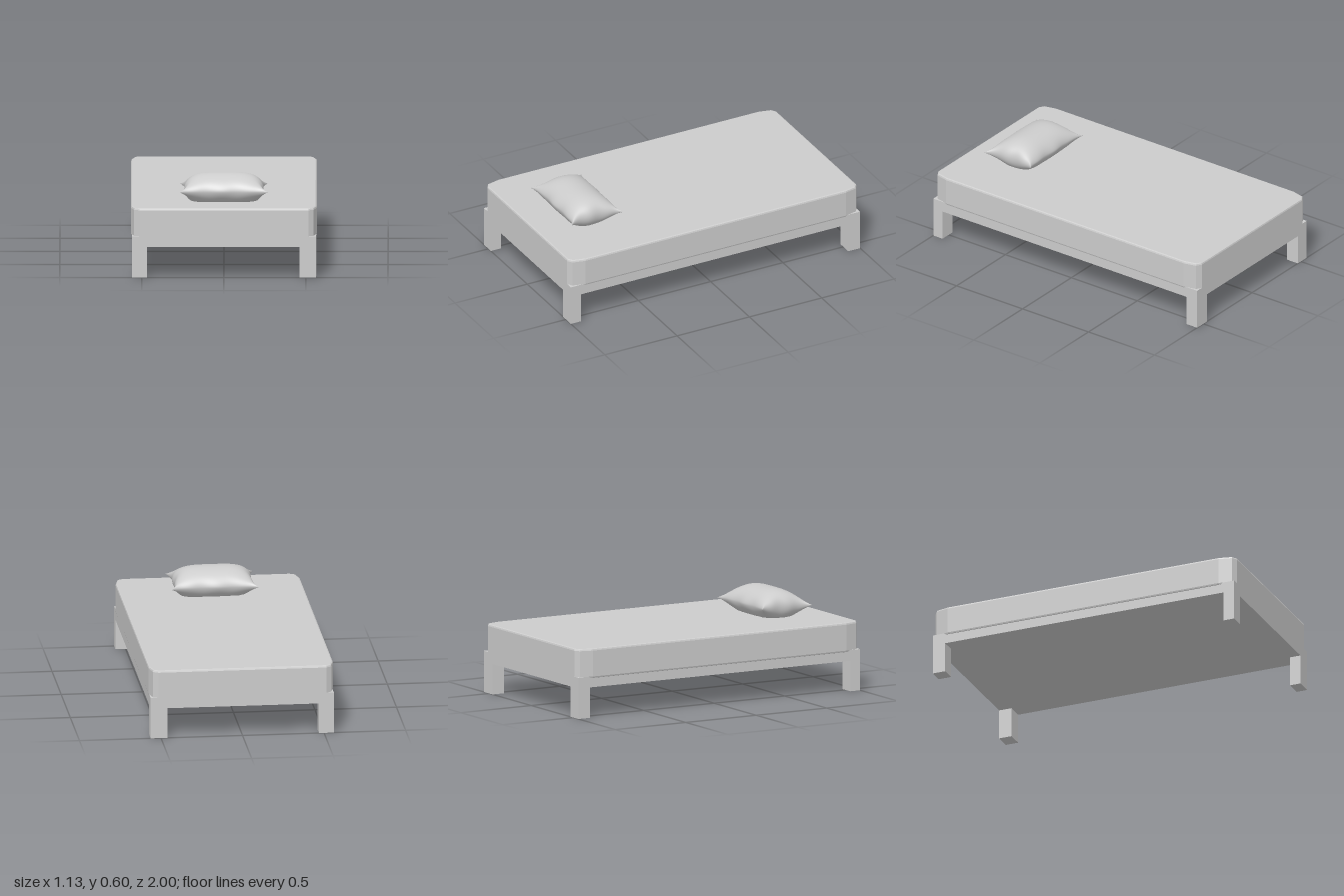
import * as THREE from 'three';
import { mergeGeometries, mergeVertices } from 'three/addons/utils/BufferGeometryUtils.js';

const grey = new THREE.MeshStandardMaterial({ color: 0xcccccc });
grey.name = 'plain grey';

function add(group, name, geometry) {
  const mesh = new THREE.Mesh(geometry, grey);
  mesh.name = name;
  group.add(mesh);
  return mesh;
}

// Box given by its extents
function box(group, name, x0, x1, y0, y1, z0, z1) {
  const mesh = add(group, name, new THREE.BoxGeometry(x1 - x0, y1 - y0, z1 - z0));
  mesh.position.set((x0 + x1) / 2, (y0 + y1) / 2, (z0 + z1) / 2);
}

// Slab with cut corners and a small bevel round the top edge
function mattressGeometry() {
  const corner = [[0.566, 0.9], [0.547, 0.98], [0.515, 1]];
  const back = [...corner].reverse();
  const outline = [
    ...corner,
    ...back.map(([x, y]) => [-x, y]),
    ...corner.map(([x, y]) => [-x, -y]),
    ...back.map(([x, y]) => [x, -y]),
  ].map(([x, y]) => new THREE.Vector2(x, y));
  const geometry = new THREE.ExtrudeGeometry(new THREE.Shape(outline), {
    depth: 0.16, bevelThickness: 0.012, bevelSize: 0.01, bevelOffset: -0.01, bevelSegments: 2,
  });
  return geometry.rotateX(-Math.PI / 2).translate(0, 0.255, 0);
}

// One half of the cushion: a grid swollen away from the seam, with drawn-out corners
function pillowHalf(side) {
  const geometry = new THREE.PlaneGeometry(2, 2, 40, 32).rotateX(-side * Math.PI / 2);
  const p = geometry.attributes.position;
  for (let i = 0; i < p.count; i++) {
    // Cosine spacing packs more rows near the seam
    const u = Math.sin(p.getX(i) * Math.PI / 2);
    const v = Math.sin(p.getZ(i) * Math.PI / 2);
    const swell = Math.sqrt(Math.max(0, 1 - u ** 4)) * Math.max(0, 1 - v * v) ** 0.6;
    const pucker = 0.004 * Math.sin(9 * u + 2) * v ** 6 + 0.004 * Math.sin(8 * v) * u ** 6;
    const height = side > 0 ? 0.097 * swell : Math.min(0.071, 0.105 * swell);
    p.setXYZ(
      i,
      u * (0.238 + 0.03 * v ** 6 + pucker * (1 - v * v)),
      side * height,
      v * (0.153 + 0.024 * u ** 8 + pucker * (1 - u * u)),
    );
  }
  geometry.deleteAttribute('uv');
  geometry.deleteAttribute('normal');
  return geometry;
}

function pillowGeometry() {
  const geometry = mergeVertices(mergeGeometries([pillowHalf(1), pillowHalf(-1)]), 1e-4);
  geometry.computeVertexNormals();
  return geometry;
}

export function createModel() {
  const bed = new THREE.Group();
  bed.name = 'bed';

  // Solid base and four square legs
  box(bed, 'bedBase', -0.56, 0.563, 0.188, 0.255, -1, 1);
  for (const [end, z0, z1] of [['front', 0.93, 1], ['back', -1, -0.918]]) {
    box(bed, end + 'RightLeg', -0.56, -0.469, 0, 0.188, z0, z1);
    box(bed, end + 'LeftLeg', 0.46, 0.563, 0, 0.188, z0, z1);
  }

  add(bed, 'mattress', mattressGeometry());

  // Pillow resting near the front end
  add(bed, 'pillow', pillowGeometry()).position.set(0, 0.498, 0.657);
  return bed;
}
